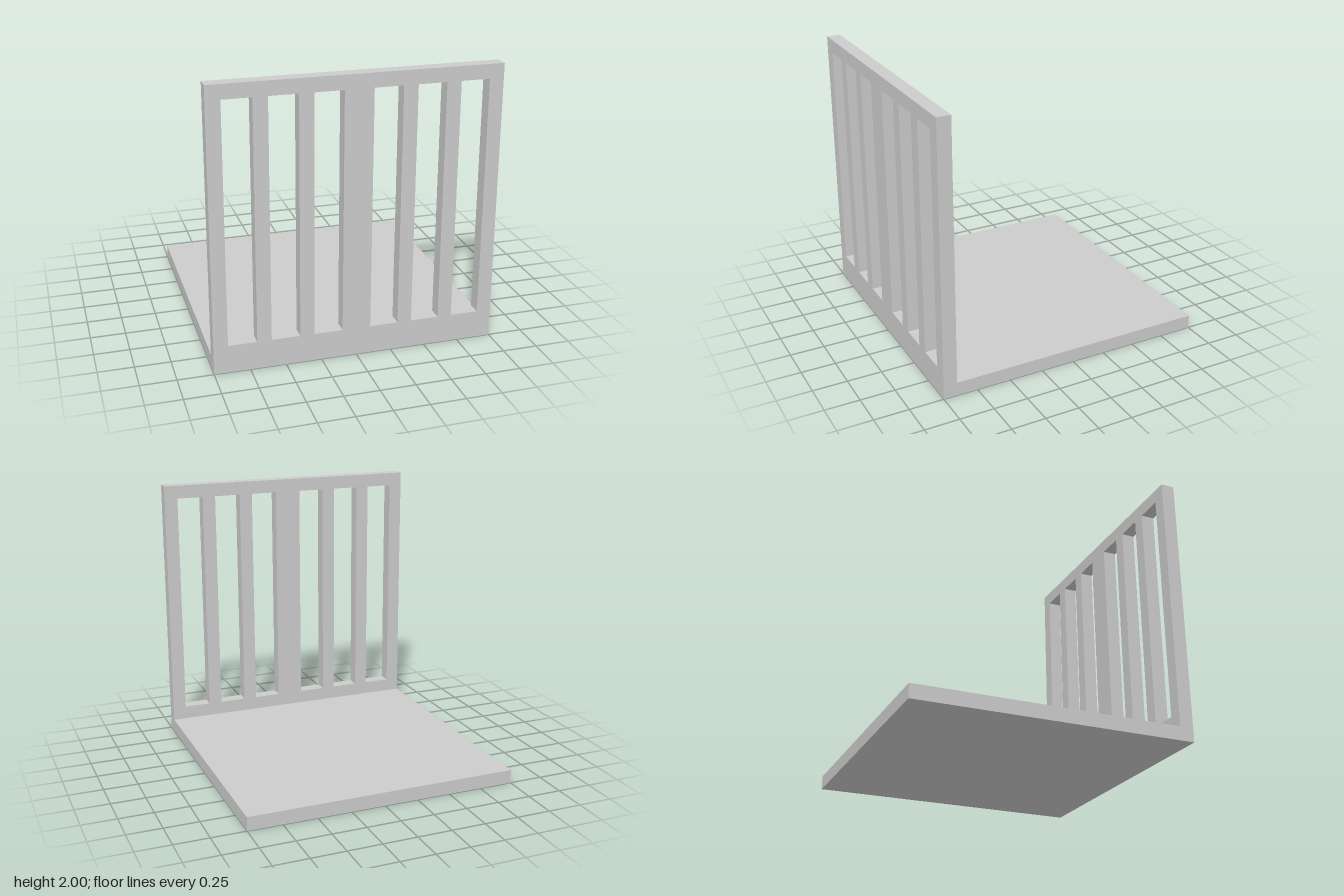
import * as THREE from 'three';

const T = 0.1; // board thickness

// Closed rectangle outline from its lower left corner
function rect(PathType, x, y, w, h) {
  return new PathType([
    new THREE.Vector2(x, y),
    new THREE.Vector2(x + w, y),
    new THREE.Vector2(x + w, y + h),
    new THREE.Vector2(x, y + h),
  ]);
}

export function createModel() {
  const group = new THREE.Group();
  const material = new THREE.MeshStandardMaterial({ color: 0xcccccc, flatShading: true });

  // Upright panel with three tall slots on each side of a wide middle bar
  const shape = rect(THREE.Shape, -1, 0, 2, 2);
  for (const centre of [0.2, 0.5, 0.8]) {
    for (const side of [-1, 1]) {
      shape.holes.push(rect(THREE.Path, side * centre - 0.1, 0.2, 0.2, 1.7));
    }
  }
  const panel = new THREE.Mesh(
    new THREE.ExtrudeGeometry(shape, { depth: T, bevelEnabled: false }),
    material
  );
  panel.name = 'slottedPanel';
  panel.position.z = 1 - T;
  group.add(panel);

  // Flat base butting against the back of the panel
  const base = new THREE.Mesh(new THREE.BoxGeometry(2, T, 2 - T), material);
  base.name = 'base';
  base.position.set(0, T / 2, -T / 2);
  group.add(base);

  return group;
}
